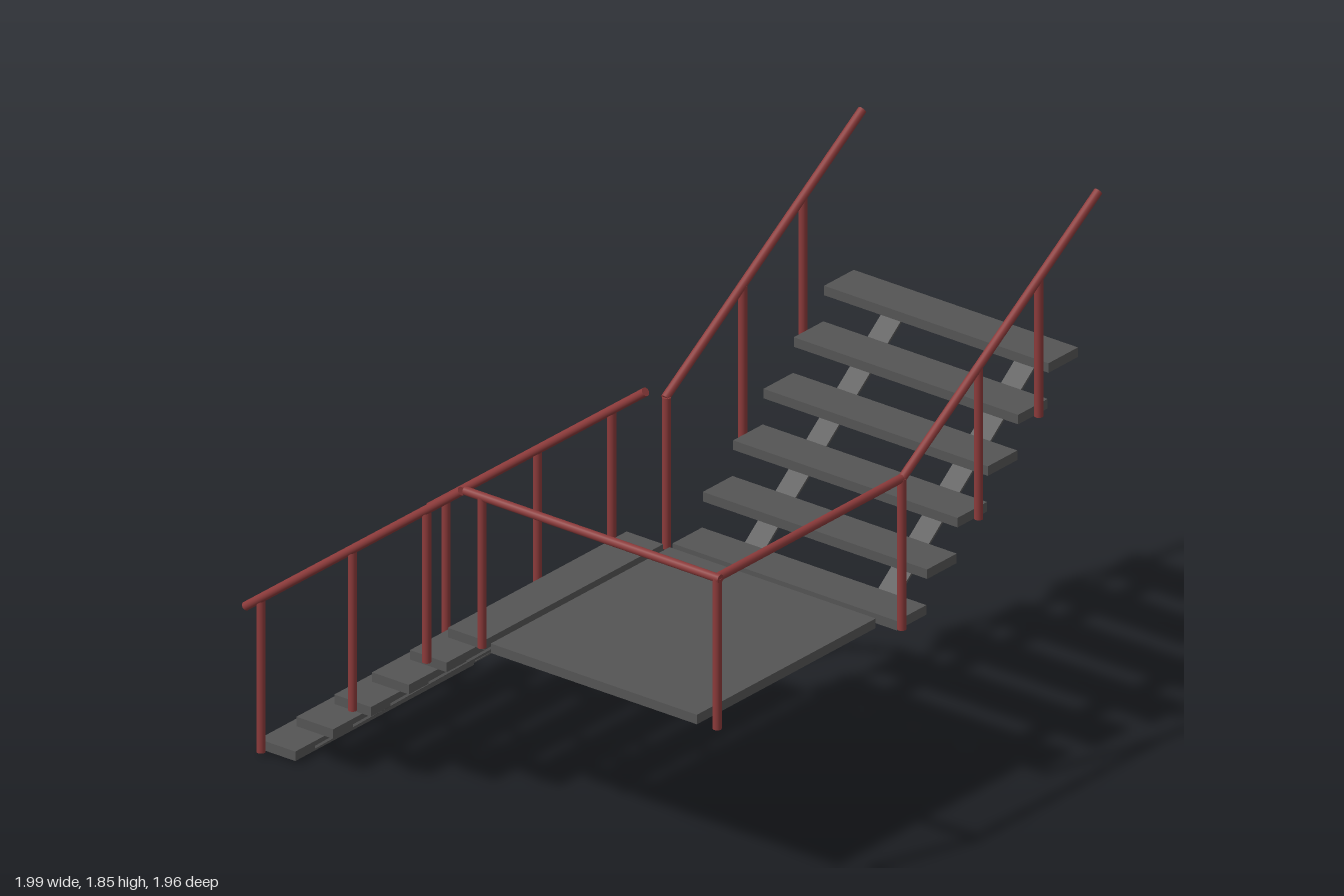
import * as THREE from 'three';

const STEPS = 6, THICK = 0.034, DECK_Y = 0.662, RAIL_Y = 1.197, R = 0.015;

export function createModel() {
  const model = new THREE.Group();
  model.name = 'staircase';
  const boardMat = new THREE.MeshStandardMaterial({ color: 0x555555 });
  const railMat = new THREE.MeshStandardMaterial({ color: 0x8b3a3a });

  // box given by its extents along each axis
  const board = (name, parent, [x0, x1], [y0, y1], [z0, z1]) => {
    const mesh = new THREE.Mesh(new THREE.BoxGeometry(x1 - x0, y1 - y0, z1 - z0), boardMat);
    mesh.position.set((x0 + x1) / 2, (y0 + y1) / 2, (z0 + z1) / 2);
    mesh.name = name;
    parent.add(mesh);
    return mesh;
  };

  // round bar between two points
  const bar = (name, parent, a, b) => {
    const p = new THREE.Vector3(...a), q = new THREE.Vector3(...b);
    const mesh = new THREE.Mesh(new THREE.CylinderGeometry(R, R, p.distanceTo(q), 16), railMat);
    mesh.position.copy(p).add(q).multiplyScalar(0.5);
    mesh.quaternion.setFromUnitVectors(new THREE.Vector3(0, 1, 0), q.sub(p).normalize());
    mesh.name = name;
    parent.add(mesh);
  };

  const group = (name) => {
    const g = new THREE.Group();
    g.name = name;
    model.add(g);
    return g;
  };
  const slab = (y) => [y - THICK / 2, y + THICK / 2];

  // landing
  board('landing', model, [-0.97, -0.05], slab(DECK_Y), [0.03, 0.88]);

  // lower flight, descending to the back
  const lower = group('lowerFlight');
  for (let i = 0; i < STEPS; i++) {
    const z = -0.156 * i;
    board('lowerTread', lower, [-0.965, -0.045], slab(DECK_Y - 0.126 * i), [z - 0.151, z]);
  }
  for (const x of [-0.823, -0.193]) {
    const s = board('lowerStringer', lower, [x - 0.041, x + 0.041], [-0.004, 0.004], [-0.513, 0.513]);
    s.position.set(x, 0.326, -0.4);
    s.rotation.x = -Math.atan2(0.635, 0.806);
  }

  // upper flight, climbing to the left
  const upper = group('upperFlight');
  for (let i = 0; i < STEPS; i++) {
    const x = -0.022 + 0.156 * i;
    board('upperTread', upper, [x, x + 0.152], slab(DECK_Y + 0.1256 * i), [0.02, 0.945]);
  }
  for (const z of [0.22, 0.77]) {
    const s = board('upperStringer', upper, [-0.513, 0.513], [-0.004, 0.004], [z - 0.041, z + 0.041]);
    s.position.set(0.528, 0.957, z);
    s.rotation.z = Math.atan2(0.635, 0.806);
  }

  // landing railing
  const landingRail = group('landingRailing');
  bar('frontRail', landingRail, [-0.98, RAIL_Y, 0.968], [-0.03, RAIL_Y, 0.968]);
  bar('sideRail', landingRail, [-0.977, RAIL_Y, 0.983], [-0.977, RAIL_Y, -0.07]);
  for (const x of [-0.978, -0.028]) {
    for (const z of [0.97, 0]) bar('landingPost', landingRail, [x, 0.66, z], [x, RAIL_Y, z]);
  }

  // lower flight railings: posts are [z, foot height, top height]
  const lowerRail = group('lowerRailing');
  for (const [railX, postX] of [[-0.984, -0.979], [-0.036, -0.027]]) {
    bar('lowerHandrail', lowerRail, [railX, 1.195, -0.08], [railX, 0.518, -0.97]);
    for (const [z, y0, y1] of [[-0.227, 0.54, 1.085], [-0.533, 0.277, 0.85], [-0.91, 0.015, 0.56]]) {
      bar('lowerPost', lowerRail, [postX, y0, z], [postX, y1, z]);
    }
  }

  // upper flight railings: posts are [x, foot height, top height]
  const upperRail = group('upperRailing');
  for (const z of [-0.005, 0.968]) {
    bar('upperHandrail', upperRail, [-0.03, 1.192, z], [0.985, 1.842, z]);
    for (const [x, y0, y1] of [[0.37, 0.905, 1.445], [0.68, 1.155, 1.645]]) {
      bar('upperPost', upperRail, [x, y0, z], [x, y1, z]);
    }
  }
  return model;
}
